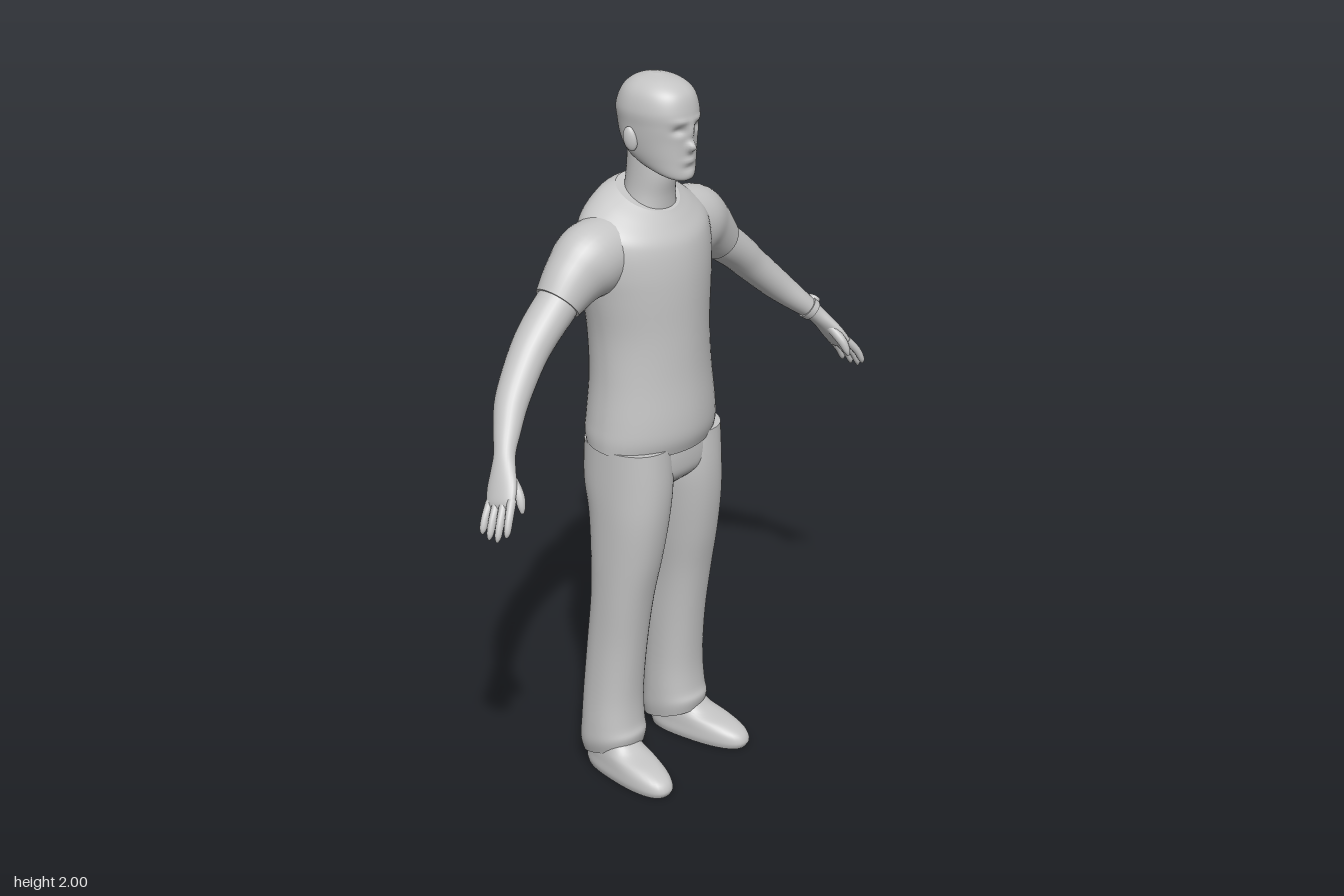
import * as THREE from 'three';

const grey = new THREE.MeshStandardMaterial({ color: 0xc4c4c4 });
grey.name = 'plain grey';

// Smoothly subdivide a list of cross-section rows (Catmull-Rom on every value)
function resample(rows, k) {
  const out = [];
  for (let i = 0; i < rows.length - 1; i++) {
    const p0 = rows[Math.max(i - 1, 0)], p1 = rows[i], p2 = rows[i + 1], p3 = rows[Math.min(i + 2, rows.length - 1)];
    for (let s = 0; s < k; s++) {
      const t = s / k;
      out.push(p1.map((b, j) => {
        const a = p0[j], c = p2[j], d = p3[j];
        return 0.5 * (2 * b + (c - a) * t + (2 * a - 5 * b + 4 * c - d) * t * t + (3 * b - a - 3 * c + d) * t * t * t);
      }));
    }
  }
  out.push(rows[rows.length - 1]);
  return out;
}

// Skin a list of point rings and close both ends with flat caps
function skin(rings) {
  const pos = [], idx = [], n = rings[0].length;
  rings.forEach(r => r.forEach(p => pos.push(p.x, p.y, p.z)));
  for (let i = 0; i < rings.length - 1; i++) {
    for (let j = 0; j < n; j++) {
      const a = i * n + j, b = i * n + (j + 1) % n;
      idx.push(a, b, a + n, b, b + n, a + n);
    }
  }
  [rings[0], rings[rings.length - 1]].forEach((ring, end) => {
    const base = pos.length / 3;
    const mid = ring.reduce((s, p) => s.add(p), new THREE.Vector3()).divideScalar(n);
    [...ring, mid].forEach(p => pos.push(p.x, p.y, p.z));
    for (let j = 0; j < n; j++) {
      const a = base + j, b = base + (j + 1) % n;
      if (end) idx.push(base + n, a, b); else idx.push(base + n, b, a);
    }
  });
  const g = new THREE.BufferGeometry();
  g.setAttribute('position', new THREE.Float32BufferAttribute(pos, 3));
  g.setIndex(idx);
  g.computeVertexNormals();
  return g;
}

const power = (v, e) => Math.sign(v) * Math.pow(Math.abs(v), e);

// Upright form, rows from top to bottom: [y, centreX, centreZ, halfWidth, frontZ, backZ, tilt]
function stack(rows, { seg = 40, k = 5, front = 2.1, back = 2.1, rule } = {}) {
  return skin(resample(rows, k).map(([y, cx, cz, rx, zf, zb, tilt]) =>
    Array.from({ length: seg }, (_, j) => {
      const t = j / seg * Math.PI * 2, c = Math.cos(t), s = Math.sin(t);
      const e = 2 / (s > 0 ? front : back);
      const dz = (s > 0 ? zf - cz : cz - zb) * power(s, e);
      const p = new THREE.Vector3(cx + rx * power(c, e), y + tilt * dz, cz + dz);
      if (rule) rule(p);
      return p;
    })));
}

// Limb along a path, rows: [x, y, z, halfThickness, halfDepth]
function limb(rows, seg = 24, k = 4) {
  const r = resample(rows, k), at = i => new THREE.Vector3(...r[i].slice(0, 3));
  return skin(r.map((row, i) => {
    const t = at(Math.min(i + 1, r.length - 1)).sub(at(Math.max(i - 1, 0))).normalize();
    const v = new THREE.Vector3(0, 0, 1).addScaledVector(t, -t.z).normalize();
    const u = v.clone().cross(t);
    return Array.from({ length: seg }, (_, j) => {
      const a = j / seg * Math.PI * 2;
      return at(i).addScaledVector(u, row[3] * Math.cos(a)).addScaledVector(v, row[4] * Math.sin(a));
    });
  }));
}

function mirrored(g) {
  const m = g.clone().scale(-1, 1, 1), ix = m.index.array;
  for (let i = 0; i < ix.length; i += 3) [ix[i], ix[i + 1]] = [ix[i + 1], ix[i]];
  m.computeVertexNormals();
  return m;
}

// Facial relief: [x, y, spreadX, spreadY, depth]
const relief = [
  [0, 1.868, 0.010, 0.024, 0.010], [0, 1.828, 0.012, 0.013, 0.022],
  [0.034, 1.873, 0.017, 0.011, -0.011], [-0.034, 1.873, 0.017, 0.011, -0.011],
  [0.03, 1.897, 0.024, 0.008, 0.004], [-0.03, 1.897, 0.024, 0.008, 0.004],
  [0, 1.79, 0.021, 0.007, 0.006], [0, 1.771, 0.02, 0.006, -0.004], [0, 1.75, 0.02, 0.012, 0.003],
];
function sculptFace(p) {
  if (p.z < 0.02) return;
  let d = 0;
  for (const [x, y, sx, sy, h] of relief) d += h * Math.exp(-(((p.x - x) / sx) ** 2) - ((p.y - y) / sy) ** 2);
  p.z += d;
}

export function createModel() {
  const model = new THREE.Group();
  model.name = 'standingMan';
  const add = (name, g) => {
    const m = new THREE.Mesh(g, grey);
    m.name = name;
    model.add(m);
  };
  const pair = (name, g) => {
    add('left' + name, g);
    add('right' + name, mirrored(g));
  };

  // Head and neck
  add('head', stack([
    [2.0, 0, -0.02, 0.012, 0.0, -0.035, 0],
    [1.988, 0, -0.02, 0.052, 0.048, -0.075, 0],
    [1.962, 0, -0.02, 0.080, 0.086, -0.104, 0],
    [1.92, 0, -0.02, 0.093, 0.101, -0.121, 0],
    [1.88, 0, -0.02, 0.091, 0.102, -0.118, 0],
    [1.84, 0, -0.02, 0.087, 0.098, -0.108, 0],
    [1.80, 0, -0.01, 0.078, 0.097, -0.092, -0.1],
    [1.772, 0, 0.005, 0.064, 0.096, -0.07, -0.3],
    [1.757, 0, 0.02, 0.042, 0.082, -0.04, -0.35],
  ], { seg: 96, k: 8, front: 2.2, rule: sculptFace }));
  add('neck', stack([
    [1.82, 0, -0.035, 0.060, 0.03, -0.092, 0],
    [1.74, 0, -0.035, 0.062, 0.036, -0.098, 0],
    [1.68, 0, -0.04, 0.068, 0.027, -0.105, 0],
    [1.61, 0, -0.04, 0.085, 0.025, -0.11, 0],
  ]));
  pair('Ear', new THREE.SphereGeometry(1, 16, 12).scale(0.011, 0.032, 0.019)
    .rotateX(-0.2).rotateY(-0.35).translate(0.092, 1.845, -0.022));

  // Shirt: body with a slanted neckline, and sleeves
  add('shirtBody', stack([
    [1.682, 0, -0.04, 0.090, 0.034, -0.115, -0.5],
    [1.66, 0, -0.05, 0.140, 0.055, -0.148, -0.4],
    [1.62, 0, -0.06, 0.195, 0.078, -0.171, -0.25],
    [1.57, 0, -0.065, 0.212, 0.091, -0.178, -0.1],
    [1.50, 0, -0.06, 0.210, 0.101, -0.178, 0],
    [1.43, 0, -0.05, 0.197, 0.106, -0.177, 0],
    [1.32, 0, -0.04, 0.182, 0.108, -0.172, 0],
    [1.20, 0, -0.03, 0.184, 0.112, -0.167, 0],
    [1.09, 0, -0.03, 0.197, 0.121, -0.170, 0],
    [1.04, 0, -0.03, 0.203, 0.120, -0.172, -0.05],
    [1.005, 0, -0.03, 0.203, 0.107, -0.165, -0.1],
  ], { seg: 56, front: 1.9, back: 2.4 }));
  pair('Sleeve', limb([
    [0.10, 1.56, -0.065, 0.09, 0.09],
    [0.20, 1.537, -0.068, 0.102, 0.092],
    [0.262, 1.503, -0.07, 0.084, 0.076],
    [0.318, 1.455, -0.07, 0.063, 0.063],
  ], 32, 6));

  // Trousers: hips and legs
  add('hips', stack([
    [1.04, 0, -0.03, 0.190, 0.095, -0.155, 0],
    [0.96, 0, -0.03, 0.196, 0.098, -0.153, 0],
    [0.91, 0, -0.03, 0.165, 0.088, -0.14, 0],
    [0.87, 0, -0.03, 0.06, 0.045, -0.1, 0],
  ], { front: 2.4, back: 2.4 }));
  pair('TrouserLeg', stack([
    [1.01, 0.100, -0.03, 0.098, 0.098, -0.152, 0],
    [0.90, 0.101, -0.03, 0.100, 0.103, -0.154, 0],
    [0.80, 0.108, -0.02, 0.094, 0.098, -0.133, 0],
    [0.68, 0.115, -0.025, 0.087, 0.081, -0.122, 0],
    [0.55, 0.122, -0.03, 0.079, 0.055, -0.121, 0],
    [0.40, 0.124, -0.05, 0.077, 0.033, -0.135, 0],
    [0.25, 0.128, -0.06, 0.079, 0.020, -0.147, 0],
    [0.15, 0.131, -0.06, 0.084, 0.023, -0.152, 0.1],
    [0.10, 0.132, -0.06, 0.085, 0.032, -0.156, 0.25],
    [0.062, 0.130, -0.06, 0.077, 0.024, -0.15, 0.3],
  ], { front: 2.2, back: 2.3 }));

  // Shoes, toes turned slightly outward
  pair('Shoe', stack([
    [0.13, 0, -0.06, 0.052, 0.0, -0.125, 0],
    [0.085, 0, -0.04, 0.057, 0.045, -0.135, 0],
    [0.063, 0, -0.02, 0.060, 0.12, -0.138, 0],
    [0.042, 0, 0, 0.062, 0.165, -0.14, 0],
    [0.018, 0, 0, 0.064, 0.18, -0.14, 0],
    [0.0, 0, 0, 0.060, 0.173, -0.137, 0],
  ], { front: 2.4, back: 2.6 }).rotateY(0.13).translate(0.15, 0, 0));

  // Arms running into the palms
  pair('Arm', limb([
    [0.25, 1.515, -0.07, 0.05, 0.052],
    [0.315, 1.458, -0.07, 0.056, 0.057],
    [0.39, 1.40, -0.066, 0.052, 0.056],
    [0.45, 1.345, -0.057, 0.048, 0.051],
    [0.53, 1.268, -0.03, 0.042, 0.045],
    [0.585, 1.213, 0.005, 0.033, 0.036],
    [0.622, 1.175, 0.032, 0.025, 0.029],
    [0.645, 1.145, 0.049, 0.022, 0.035],
    [0.668, 1.11, 0.066, 0.020, 0.044],
    [0.688, 1.078, 0.079, 0.016, 0.043],
    [0.696, 1.064, 0.084, 0.008, 0.034],
  ], 28, 5));

  // Fingers fan out along the knuckle line; thumb points forward and down
  [['IndexFinger', 0.033, 0.94], ['MiddleFinger', 0.011, 1.06], ['RingFinger', -0.011, 1.0], ['LittleFinger', -0.033, 0.85]]
    .forEach(([name, s, len]) => {
      const x = 0.686 - 0.19 * s, y = 1.082 + 0.28 * s, z = 0.079 + 0.94 * s;
      pair(name, limb([
        [x, y, z, 0.012, 0.012],
        [x + 0.028 * len, y - 0.036 * len, z + (0.012 + s * 0.15) * len, 0.011, 0.0105],
        [x + 0.044 * len, y - 0.068 * len, z + (0.018 + s * 0.2) * len, 0.009, 0.009],
        [x + 0.048 * len, y - 0.083 * len, z + (0.018 + s * 0.2) * len, 0.003, 0.003],
      ], 12));
    });
  pair('Thumb', limb([
    [0.647, 1.135, 0.07, 0.014, 0.016],
    [0.654, 1.10, 0.108, 0.014, 0.014],
    [0.660, 1.072, 0.124, 0.011, 0.010],
    [0.663, 1.055, 0.129, 0.004, 0.004],
  ], 12));

  // Wristwatch on the left arm only
  add('watchStrap', limb([
    [0.606, 1.192, 0.020, 0.033, 0.036],
    [0.618, 1.180, 0.029, 0.031, 0.034],
  ], 28, 2));
  add('watchCase', new THREE.CylinderGeometry(0.017, 0.019, 0.012, 20)
    .rotateZ(-Math.PI / 4).translate(0.634, 1.209, 0.022));

  return model;
}
